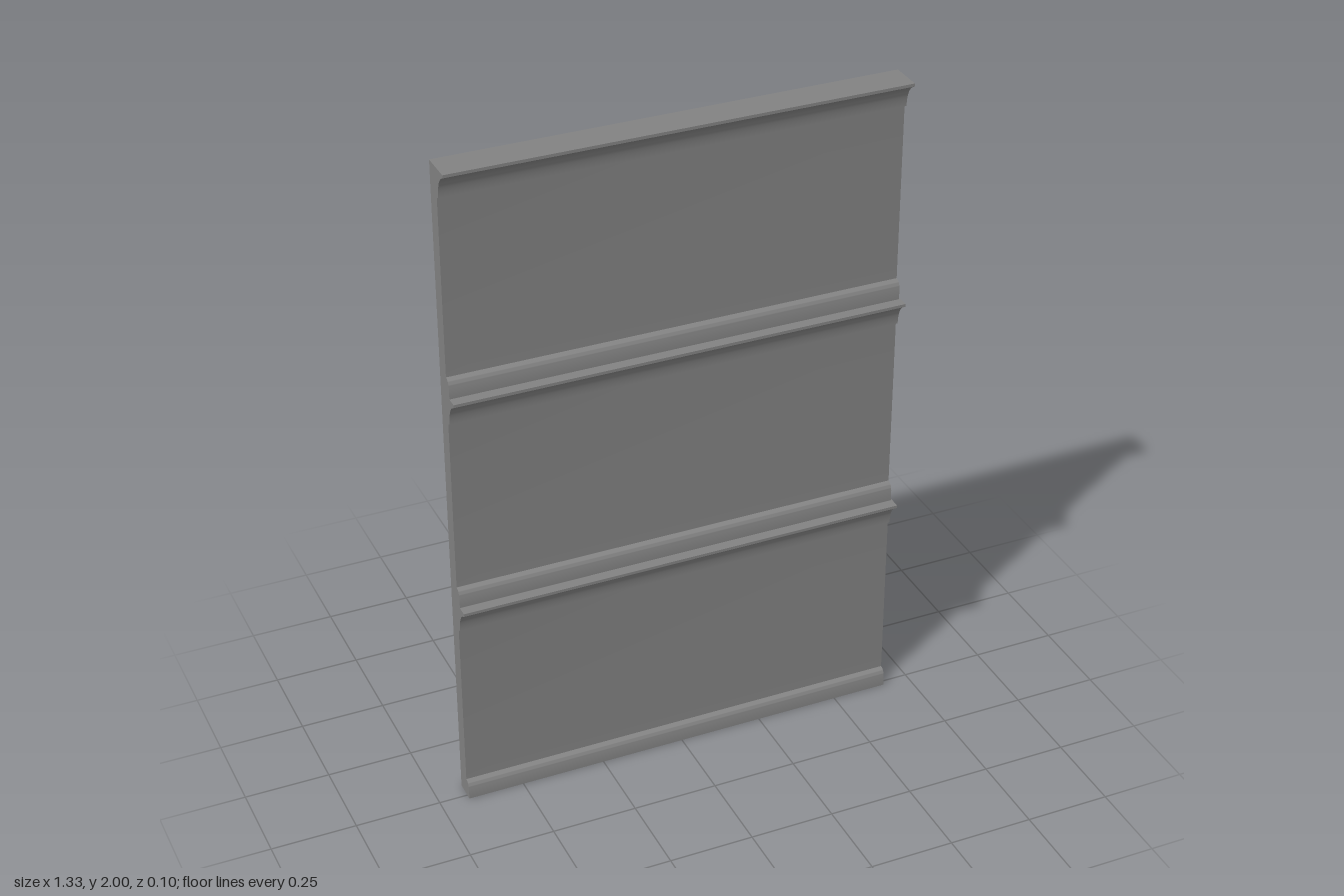
import * as THREE from 'three';
import { toCreasedNormals } from 'three/addons/utils/BufferGeometryUtils.js';

const H = 2 / 3;          // height of one panel
const LEFT = -0.666;      // shared flush edge
const BACK = -0.048, FACE = -0.002, TIP = 0.049;

// Cross-section (depth, height): skirting at the foot, flat field, cove moulding at the head
function panelProfile() {
  const s = new THREE.Shape();
  s.moveTo(BACK, 0);
  s.lineTo(0.017, 0);
  s.lineTo(0.017, 0.034);
  s.quadraticCurveTo(0.015, 0.05, 0.004, 0.055);
  s.lineTo(FACE, 0.057);
  s.lineTo(FACE, 0.581);
  s.lineTo(0.008, 0.584);
  s.bezierCurveTo(0.01, 0.622, 0.021, 0.643, 0.042, 0.654);
  s.lineTo(TIP, 0.658);
  s.lineTo(TIP, H);
  s.lineTo(BACK, H);
  s.closePath();
  return s;
}

export function createModel() {
  const group = new THREE.Group();
  group.name = 'panelledWall';
  const material = new THREE.MeshStandardMaterial({ color: 0x828282 });
  const profile = panelProfile();

  // Three stacked panels, each slightly narrower than the one below
  const panels = [['lowerPanel', 0.666], ['middlePanel', 0.662], ['upperPanel', 0.658]];
  panels.forEach(([name, right], i) => {
    const geometry = new THREE.ExtrudeGeometry(profile, {
      depth: right - LEFT, bevelEnabled: false, curveSegments: 10,
    });
    geometry.rotateY(-Math.PI / 2);
    geometry.translate(right, 0, 0);
    const mesh = new THREE.Mesh(toCreasedNormals(geometry, 0.5), material);
    mesh.name = name;
    mesh.position.y = i * H;
    group.add(mesh);
  });
  return group;
}
